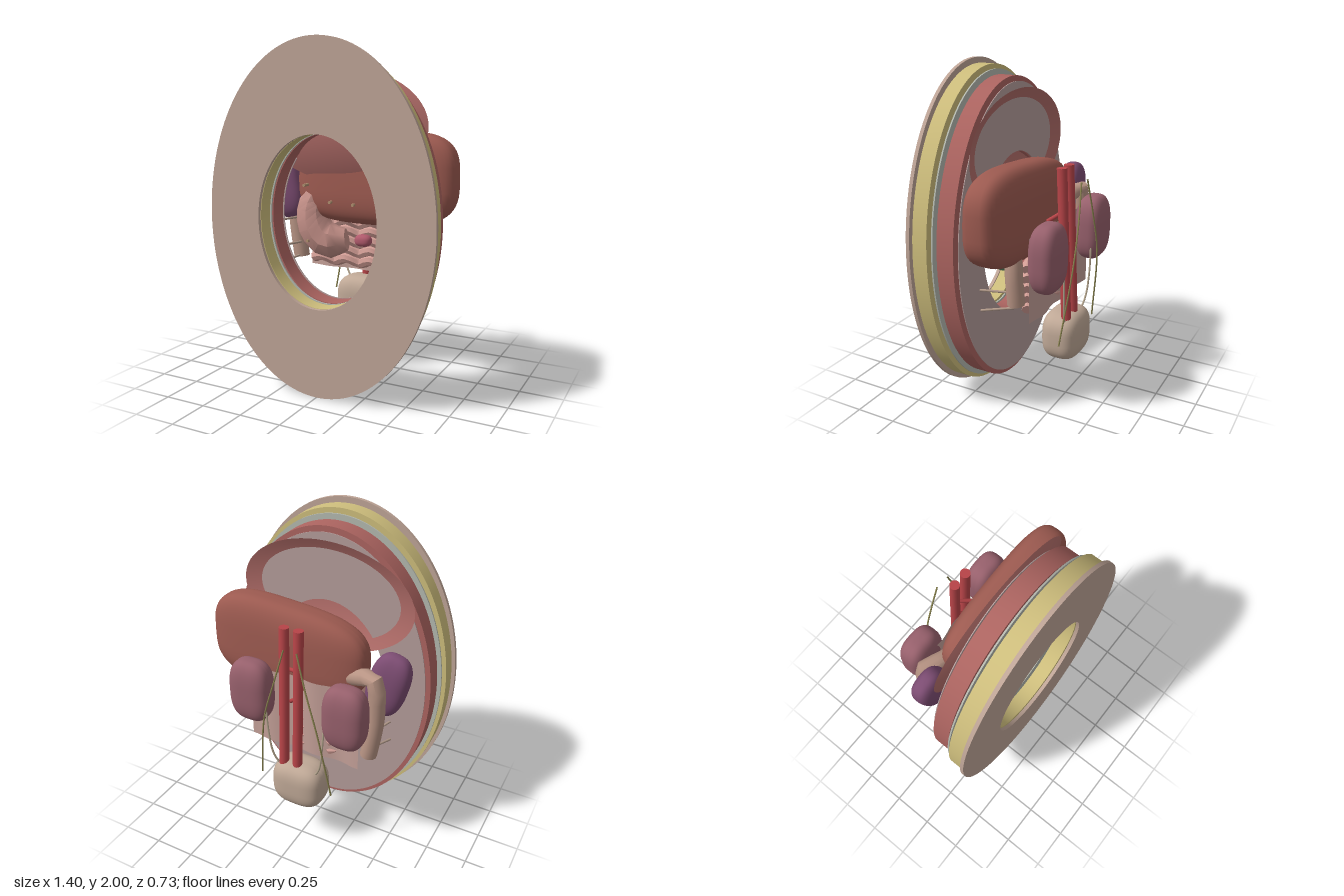
import * as THREE from 'three';
import { toCreasedNormals } from 'three/addons/utils/BufferGeometryUtils.js';

const V = (p) => new THREE.Vector3(...p);
const curve = (pts) => new THREE.CatmullRomCurve3(pts.map(V));

export function createModel() {
  const model = new THREE.Group();

  function add(name, geometry, color, options = {}) {
    const mesh = new THREE.Mesh(geometry, new THREE.MeshStandardMaterial({ color, ...options }));
    mesh.name = name;
    model.add(mesh);
    return mesh;
  }

  // Oval plate with an oval window
  function wallLayer(name, rx, ry, z0, z1, color) {
    const shape = new THREE.Shape().absellipse(0, 0, rx, ry, 0, Math.PI * 2);
    shape.holes.push(new THREE.Path().absellipse(0, 0, 0.37, 0.485, 0, Math.PI * 2));
    const geo = new THREE.ExtrudeGeometry(shape, { depth: z1 - z0, bevelEnabled: false, curveSegments: 72 });
    geo.translate(0, 1, z0);
    add(name, toCreasedNormals(geo, 0.5), color);
  }

  // Rounded organ: a sphere pushed outwards towards its bounding box
  function roundedOrgan(size, power, bend) {
    const geo = new THREE.SphereGeometry(1, 48, 32);
    const pos = geo.attributes.position;
    const swell = (v) => Math.sign(v) * Math.pow(Math.abs(v), power);
    for (let i = 0; i < pos.count; i++) {
      const p = new THREE.Vector3().fromBufferAttribute(pos, i);
      p.set(swell(p.x), swell(p.y), swell(p.z));
      if (bend) bend(p);
      pos.setXYZ(i, p.x * size[0], p.y * size[1], p.z * size[2]);
    }
    geo.computeVertexNormals();
    return geo;
  }

  // Tube with closed flat ends and a radius that varies along its length
  function organTube(pts, radii, segments, sides) {
    const path = curve(pts);
    const geo = new THREE.TubeGeometry(path, segments, 1, sides);
    const pos = geo.attributes.position;
    for (let i = 0; i < pos.count; i++) {
      const ring = Math.floor(i / (sides + 1));
      const isEnd = ring === 0 || ring === segments;
      const t = Math.min(Math.max(ring, 1), segments - 1) / segments;
      const centre = path.getPointAt(ring / segments);
      const k = t * (radii.length - 1), j = Math.min(Math.floor(k), radii.length - 2);
      const r = THREE.MathUtils.lerp(radii[j], radii[j + 1], k - j);
      const p = new THREE.Vector3().fromBufferAttribute(pos, i).sub(centre).multiplyScalar(r).add(centre);
      if (isEnd) p.copy(path.getPointAt(t));
      pos.setXYZ(i, p.x, p.y, p.z);
    }
    return toCreasedNormals(geo, 0.7);
  }

  const strand = (name, pts, r, color) =>
    add(name, new THREE.TubeGeometry(curve(pts), 20, r, 8), color);

  // Straight rod between two points
  function rod(name, a, b, r, color) {
    const from = V(a), to = V(b), dir = to.clone().sub(from);
    const mesh = add(name, new THREE.CylinderGeometry(r, r, dir.length(), 16), color);
    mesh.position.copy(from).add(to).multiplyScalar(0.5);
    mesh.quaternion.setFromUnitVectors(new THREE.Vector3(0, 1, 0), dir.normalize());
  }

  // Body wall, outermost layer first
  wallLayer('skin', 0.70, 1.0, 0.345, 0.367, 0xbfa597);
  wallLayer('fatLayer', 0.68, 0.967, 0.25, 0.34, 0xcdbd7c);
  wallLayer('fascia', 0.66, 0.94, 0.226, 0.235, 0xb4b8ae);
  wallLayer('muscleLayer', 0.64, 0.91, 0.11, 0.214, 0xac6460);
  wallLayer('innerLining', 0.615, 0.88, 0.092, 0.097, 0xb49c9a);

  // Diaphragm: shallow forward dome, open at the back
  const profile = [];
  for (let i = 0; i <= 12; i++) profile.push(new THREE.Vector2(i / 12, 0.088 * (1 - (i / 12) ** 2)));
  const dome = new THREE.LatheGeometry(profile, 64);
  dome.scale(0.53, 1, 0.325).rotateX(Math.PI / 2).translate(0, 1.52, 0.064);
  add('diaphragm', dome, 0xb06c68, { side: THREE.DoubleSide });

  // Liver: long lobe thinning towards its right end
  const liver = roundedOrgan([0.495, 0.285, 0.137], 0.62, (p) => {
    const s = THREE.MathUtils.lerp(0.86, 1, (p.x + 1) / 2);
    p.y = (p.y + 1) * s - 1;
    p.z *= (1 - 0.12 * p.y) * THREE.MathUtils.lerp(0.9, 1, (p.x + 1) / 2);
  });
  add('liver', liver, 0x9c5a50).position.set(0.175, 1.235, -0.035);

  // Spleen, gallbladder, bladder and small gland
  const spleen = add('spleen', roundedOrgan([0.115, 0.2, 0.072], 0.75), 0x7c4c72);
  spleen.position.set(-0.45, 1.14, -0.052);
  spleen.rotation.z = 0.25;
  add('gallbladder', roundedOrgan([0.062, 0.06, 0.05], 0.9), 0x5c8562).position.set(0.29, 0.94, 0.01);
  add('bladder', roundedOrgan([0.165, 0.15, 0.117], 0.65), 0xbfa896).position.set(0, 0.43, -0.247);
  add('pancreasHead', roundedOrgan([0.052, 0.036, 0.04], 0.8), 0xb05a6c).position.set(0.083, 0.838, -0.06);

  // Stomach
  add('stomach', organTube([[-0.12, 1.15, 0], [-0.2, 1.1, 0.01], [-0.22, 0.96, 0.02], [-0.15, 0.84, 0.0], [0.03, 0.845, -0.05]],
    [0.045, 0.085, 0.105, 0.11, 0.045], 12, 9), 0xc49088);

  // Colon framing the cavity
  add('colon', organTube([[0.365, 0.66, -0.115], [0.375, 0.95, -0.1], [0.32, 1.12, -0.08], [0, 1.1, -0.06],
    [-0.3, 1.17, -0.1], [-0.4, 1.2, -0.135], [-0.42, 0.98, -0.13], [-0.375, 0.62, -0.13]],
    [0.05, 0.05], 28, 12), 0xb89484);

  // Small intestine: zigzag rows
  for (let row = 0; row < 5; row++) {
    const pts = [];
    for (let i = 0; i <= 8; i++) {
      const even = i % 2 ? 1 : -1;
      pts.push([-0.33 + i * 0.085, 0.685 + row * 0.06 + even * 0.016, -0.155 + even * 0.015]);
    }
    add('smallIntestineRow', organTube(pts, [0.034, 0.034], 24, 8), 0xd09c94);
  }

  // Mesentery: thin rippled sheet behind the intestine
  const sheet = new THREE.PlaneGeometry(0.72, 0.5, 24, 6);
  const sp = sheet.attributes.position;
  for (let i = 0; i < sp.count; i++) sp.setZ(i, 0.01 * Math.sin(sp.getX(i) * 22));
  sheet.translate(0.005, 0.87, -0.2);
  sheet.computeVertexNormals();
  add('mesentery', sheet, 0xc4a098, { side: THREE.DoubleSide });

  // Great vessels with forward branches
  for (const x of [0, 0.09]) rod('greatVessel', [x, 1.45, -0.245], [x, 0.55, -0.287], 0.029, 0xb84448);
  rod('vesselBranch', [0.01, 1.2, -0.255], [0.12, 1.14, -0.17], 0.012, 0xb84448);
  rod('vesselBranch', [0.01, 1.02, -0.26], [0.1, 0.93, -0.18], 0.012, 0xb84448);

  // Paired parts
  for (const s of [-1, 1]) {
    add('kidney', roundedOrgan([0.13, 0.197, 0.087], 0.68), 0x97606c).position.set(s * 0.3, 1.005, -0.272);
    strand('ureter', [[s * 0.19, 0.97, -0.31], [s * 0.175, 0.75, -0.31], [s * 0.15, 0.6, -0.3], [s * 0.09, 0.5, -0.28]], 0.006, 0xb8a890);
    strand('nerve', [[s * 0.04, 1.37, -0.34], [s * 0.1, 1.15, -0.355], [s * 0.17, 0.9, -0.358], [s * 0.235, 0.45, -0.31]], 0.005, 0x8a8450);
    // Ligament pins along the sides of the colon
    for (const y of [0.945, 0.785]) rod('sidePin', [s * 0.36, y, -0.08], [s * 0.42, y, 0.11], 0.007, 0xb09888);
    rod('sidePin', [s * 0.37, 0.7, -0.1], [s * 0.43, 0.67, 0.08], 0.007, 0xb09888);
  }

  // Small pins standing out of the front of the organs
  for (const [x, y] of [[-0.22, 1.17], [-0.05, 1.08], [0.1, 1.075], [0.265, 1.085], [-0.2, 0.84]])
    rod('frontPin', [x, y, 0], [x, y, 0.118], 0.009, 0xb09070);

  return model;
}
